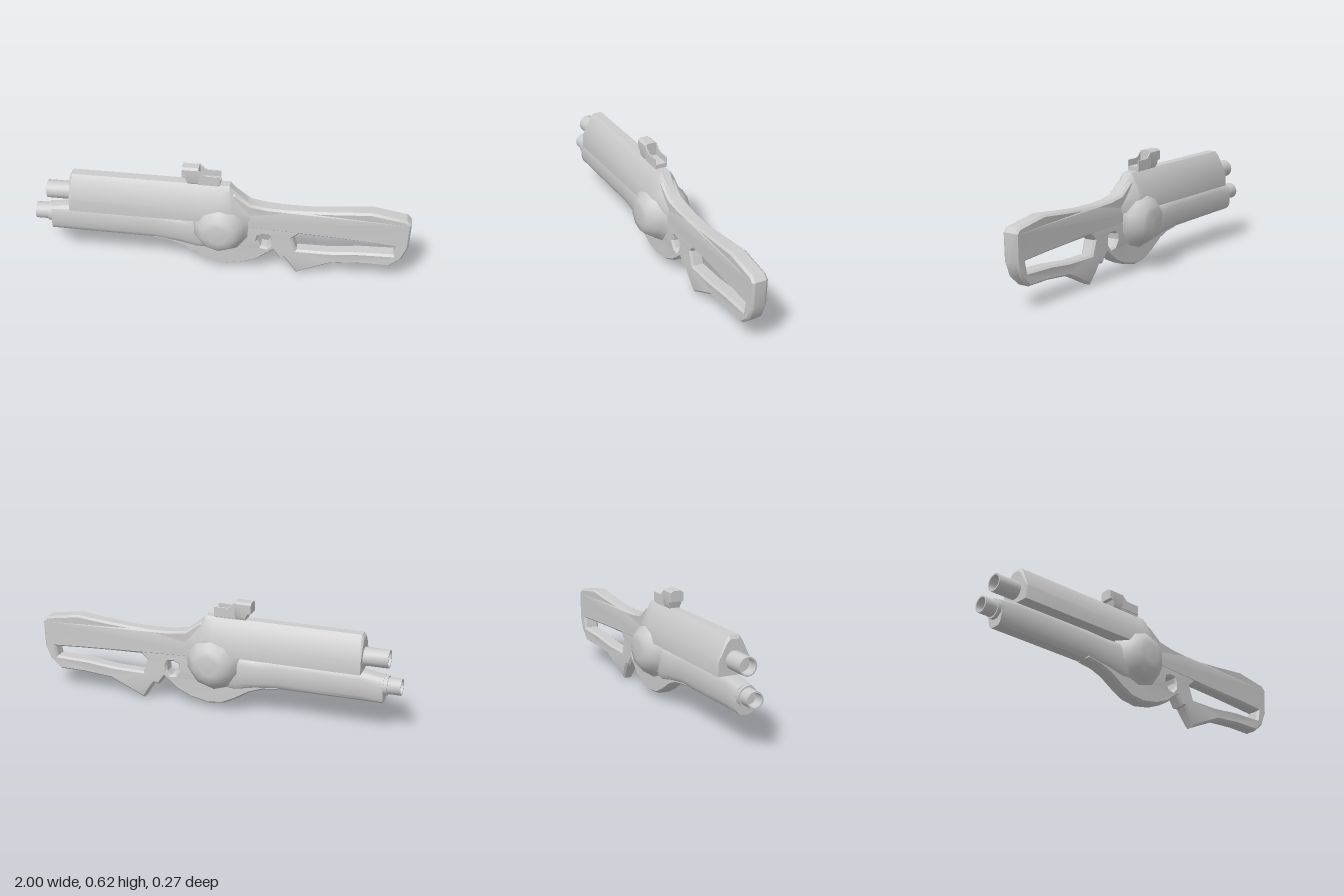
import * as THREE from 'three';
import { toCreasedNormals } from 'three/addons/utils/BufferGeometryUtils.js';

const material = new THREE.MeshStandardMaterial({ color: 0xcccccc, side: THREE.DoubleSide });

// Skin through equal-length rings of [x, y, z], ordered from -x to +x
function loft(rings) {
  const n = rings[0].length, index = [];
  for (let i = 0; i < rings.length - 1; i++) {
    for (let j = 0; j < n; j++) {
      const k = (j + 1) % n;
      const a = i * n + j, b = i * n + k, c = b + n, d = a + n;
      index.push(a, b, c, a, c, d);
    }
  }
  const last = (rings.length - 1) * n;
  for (let j = 1; j < n - 1; j++) {
    index.push(0, j + 1, j, last, last + j, last + j + 1);
  }
  const g = new THREE.BufferGeometry();
  g.setAttribute('position', new THREE.Float32BufferAttribute(rings.flat(2), 3));
  g.setIndex(index);
  return toCreasedNormals(g, 0.5);
}

const points = (list) => list.map(([x, y]) => new THREE.Vector2(x, y));

// Bevelled side-profile plate whose half thickness follows half(x, y)
function plate(outline, holes, bevel, half) {
  const shape = new THREE.Shape(points(outline));
  holes.forEach((h) => shape.holes.push(new THREE.Path(points(h))));
  const g = new THREE.ExtrudeGeometry(shape, {
    depth: 1.4, bevelThickness: 0.3, bevelSize: bevel, bevelOffset: -bevel, bevelSegments: 1,
  });
  g.translate(0, 0, -0.7);
  const p = g.attributes.position;
  for (let i = 0; i < p.count; i++) p.setZ(i, p.getZ(i) * half(p.getX(i), p.getY(i)));
  return toCreasedNormals(g, 0.5);
}

export function createModel() {
  const model = new THREE.Group();
  const add = (name, geometry) => {
    const mesh = new THREE.Mesh(geometry, material);
    mesh.name = name;
    model.add(mesh);
    return mesh;
  };

  // Central frame, grip and skeleton stock in one plate
  const outline = [
    [-0.36, 0.167], [-0.27, 0.155], [-0.2, 0.13], [-0.12, 0.08], [-0.05, 0.045], [0.03, 0.035],
    [0.13, 0.055], [0.21, 0.09], [0.285, 0.15], [0.32, 0.1], [0.345, 0.105], [0.37, 0.07],
    [0.41, 0.005], [0.5, 0.05], [0.6, 0.097], [0.76, 0.112], [0.905, 0.112], [0.965, 0.165],
    [0.995, 0.24], [1, 0.385], [0.975, 0.41], [0.79, 0.44], [0.6, 0.422], [0.48, 0.413],
    [0.35, 0.41], [0.25, 0.415], [0.16, 0.43], [0.08, 0.49], [0, 0.49], [-0.12, 0.36],
    [-0.15, 0.315], [-0.36, 0.3],
  ];
  const triggerHole = [
    [0.2, 0.205], [0.205, 0.235], [0.23, 0.246], [0.262, 0.243], [0.272, 0.22],
    [0.268, 0.185], [0.25, 0.165], [0.22, 0.17],
  ];
  const stockHole = [
    [0.385, 0.235], [0.42, 0.266], [0.6, 0.26], [0.78, 0.252], [0.932, 0.242],
    [0.92, 0.186], [0.74, 0.18], [0.58, 0.163], [0.41, 0.162],
  ];
  add('frameAndStock', plate(outline, [triggerHole, stockHole], 0.01, (x, y) => {
    const along = 0.035 + 0.008 * Math.min(1, Math.abs(x - 0.48) / 0.3);
    return x > 0.3 ? Math.min(along, 0.024 + 0.25 * Math.max(0, y)) : along;
  }));

  // Upper housing: x, top height, width factor
  const housing = [
    [-0.8, 0.512, 0.97], [-0.788, 0.53, 1], [-0.1, 0.53, 1], [0, 0.53, 0.97],
    [0.05, 0.53, 0.92], [0.072, 0.505, 0.85], [0.16, 0.428, 0.47],
  ];
  add('upperHousing', loft(housing.map(([x, top, w]) => {
    const s = (top - 0.335) / 0.195;
    const right = [[0.025, 0.195], [0.045, 0.17], [0.09, 0.075], [0.09, 0]];
    const side = right.map(([z, y]) => [x, 0.335 + y * s, z * w]);
    return [...side, ...side.map(([a, y, z]) => [a, y, -z]).reverse()];
  })));

  // Rounded lower fore-end: x, bottom, top, half width
  const foreEnd = [
    [-0.912, 0.17, 0.316, 0.052], [-0.8, 0.17, 0.332, 0.055], [-0.35, 0.166, 0.332, 0.055],
    [-0.22, 0.15, 0.325, 0.06], [-0.12, 0.13, 0.33, 0.065], [0, 0.13, 0.4, 0.06],
  ];
  add('lowerForeEnd', loft(foreEnd.map(([x, low, high, w]) => {
    const ring = [];
    for (let i = 0; i < 16; i++) {
      const a = (i / 16) * Math.PI * 2;
      const soft = (v) => Math.sign(v) * Math.pow(Math.abs(v), 0.65);
      ring.push([x, (low + high) / 2 + soft(Math.cos(a)) * (high - low) / 2, soft(Math.sin(a)) * w]);
    }
    return ring;
  })));

  // Hollow muzzles, turned so the lathe axis lies along x
  const tube = (name, x0, x1, y, r) => {
    const wall = points([[r - 0.008, x0 + 0.06], [r - 0.008, x0], [r, x0], [r, x1], [0, x1]]);
    wall.unshift(new THREE.Vector2(0, x0 + 0.06));
    const g = new THREE.LatheGeometry(wall, 20);
    g.rotateZ(-Math.PI / 2);
    g.translate(0, y, 0);
    add(name, toCreasedNormals(g, 0.5));
  };
  tube('upperMuzzle', -0.93, -0.78, 0.408, 0.048);
  tube('lowerMuzzle', -1, -0.9, 0.264, 0.044);
  const collar = new THREE.CylinderGeometry(0.052, 0.052, 0.04, 20);
  collar.rotateZ(Math.PI / 2);
  add('lowerCollar', collar).position.set(-0.912, 0.264, 0);

  // Faceted bulges on both sides
  const bulge = points([
    [0.17, 0.03], [0.15, 0.05], [0.138, 0.068], [0.122, 0.095], [0.088, 0.129],
    [0.05, 0.135], [0, 0.137],
  ]);
  for (const side of [1, -1]) {
    const g = new THREE.LatheGeometry(bulge, 10);
    g.rotateX(side * Math.PI / 2);
    add(side > 0 ? 'frontBulge' : 'backBulge', g).position.set(0, 0.28, 0);
  }

  // Sight: chamfered front block and a channel behind it
  const section = [[0.022, 0.625], [0.035, 0.615], [0.035, 0.545], [0.026, 0.528]];
  const sightRing = (x, low, shift) => {
    const s = section.map(([z, y]) => [x + (y < 0.56 ? shift : 0), Math.max(y, low), z]);
    return [...s, ...s.map(([a, y, z]) => [a, y, -z]).reverse()];
  };
  add('sightBlock', loft([sightRing(-0.2, 0.568, 0), sightRing(-0.181, 0.565, 0),
    sightRing(-0.17, 0.528, 0), sightRing(-0.112, 0.528, 0)]));
  const base = new THREE.BoxGeometry(0.115, 0.025, 0.06);
  add('sightBase', base).position.set(-0.0575, 0.54, 0);
  const cheek = [[-0.115, 0.535], [0, 0.535], [0, 0.587], [-0.07, 0.587], [-0.085, 0.592], [-0.115, 0.62]];
  for (const side of [1, -1]) {
    add('sightCheek', plate(cheek, [], 0.001, () => 0.003)).position.z = side * 0.032;
  }
  return model;
}
